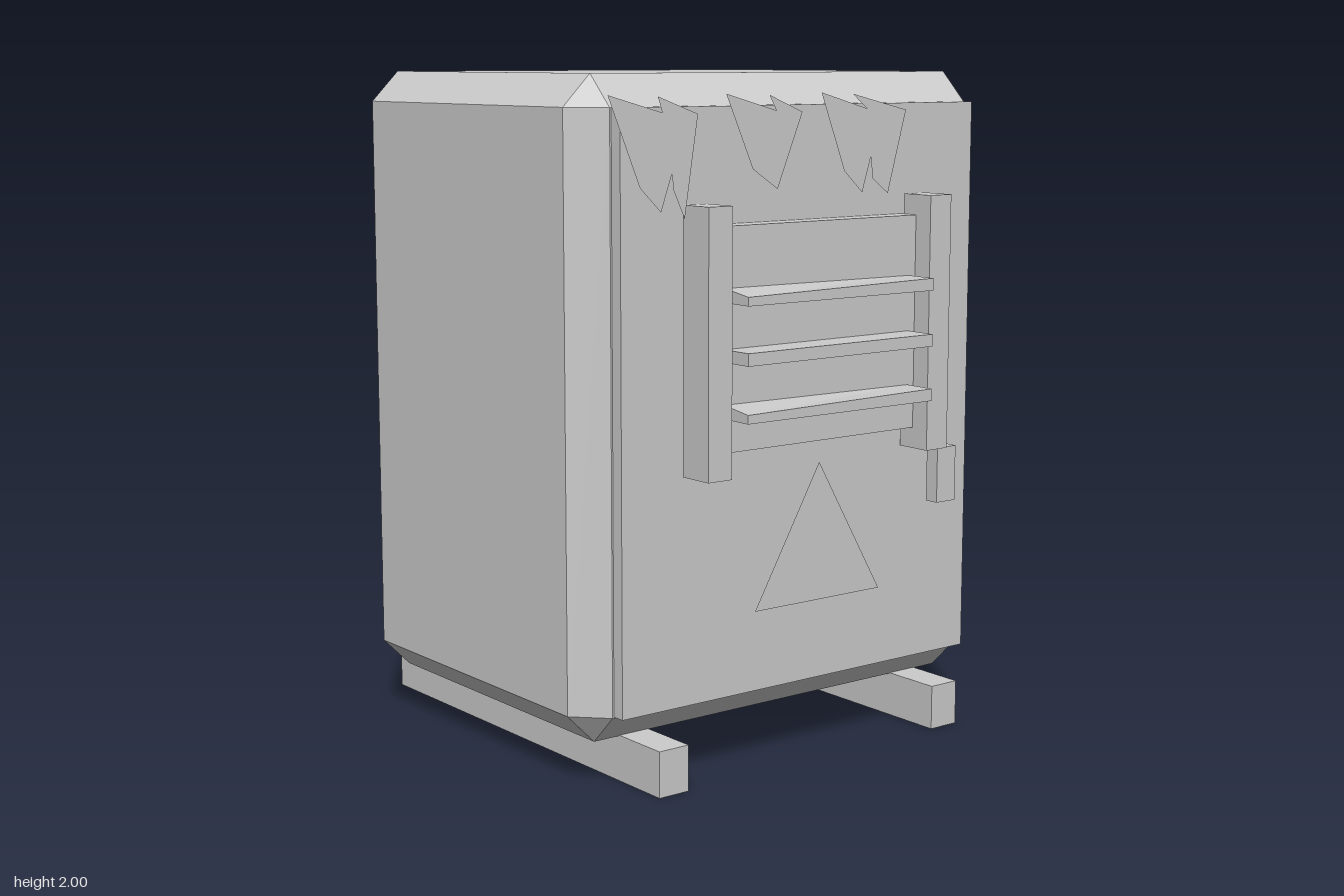
import * as THREE from 'three';
import { ConvexGeometry } from 'three/addons/geometries/ConvexGeometry.js';

const material = new THREE.MeshStandardMaterial({ color: 0xcccccc, flatShading: true });
const cardMaterial = new THREE.MeshStandardMaterial({ color: 0xcccccc, side: THREE.DoubleSide });

// Box given by its extents on each axis
function box(name, [x0, x1], [y0, y1], [z0, z1]) {
  const mesh = new THREE.Mesh(new THREE.BoxGeometry(x1 - x0, y1 - y0, z1 - z0), material);
  mesh.position.set((x0 + x1) / 2, (y0 + y1) / 2, (z0 + z1) / 2);
  mesh.name = name;
  return mesh;
}

// Box with every edge and corner cut off
function chamferedBox(hx, hy, hz, c) {
  const points = [];
  for (const x of [-1, 1]) for (const y of [-1, 1]) for (const z of [-1, 1]) {
    points.push(
      new THREE.Vector3(x * hx, y * (hy - c), z * (hz - c)),
      new THREE.Vector3(x * (hx - c), y * hy, z * (hz - c)),
      new THREE.Vector3(x * (hx - c), y * (hy - c), z * hz));
  }
  return new ConvexGeometry(points);
}

// Flat cut-out standing just in front of the door
function card(name, points) {
  const shape = new THREE.Shape(points.map(([x, y]) => new THREE.Vector2(x, y)));
  const mesh = new THREE.Mesh(new THREE.ShapeGeometry(shape), cardMaterial);
  mesh.position.z = 0.655;
  mesh.name = name;
  return mesh;
}

export function createModel() {
  const model = new THREE.Group();
  model.name = 'cabinet';

  // Cabinet body and door
  const body = new THREE.Mesh(chamferedBox(0.75, 0.934, 0.6, 0.09), material);
  body.position.set(0, 1.066, -0.053);
  body.name = 'body';
  model.add(body);
  model.add(box('door', [-0.655, 0.655], [0.225, 1.91], [0.54, 0.587]));

  // Skids and window posts, mirrored
  for (const s of [-1, 1]) {
    const side = s > 0 ? 'left' : 'right';
    const span = (a, b) => (s > 0 ? [a, b] : [-b, -a]);
    model.add(box(side + 'Skid', span(0.472, 0.574), [0, 0.135], [-0.76, 0.65]));
    model.add(box(side + 'Post', span(0.37, 0.453), [0.89, 1.645], [0.6, 0.713]));
  }

  // Window plate and slats; the outer slats are slightly twisted
  model.add(box('windowPlate', [-0.372, 0.372], [0.952, 1.585], [0.585, 0.652]));
  [1.065, 1.226, 1.39].forEach((y, i) => {
    const slat = box('slat' + (i + 1), [-0.348, 0.346], [y - 0.018, y + 0.018], [0.652, 0.755]);
    const p = slat.geometry.attributes.position;
    if (i !== 1) {
      for (let k = 0; k < p.count; k++) {
        if (p.getX(k) < 0) p.setY(k, p.getY(k) * (p.getZ(k) > 0 ? 0.7 : 1.1) - Math.sign(p.getZ(k)) * 0.004);
      }
      slat.geometry.computeVertexNormals();
    }
    model.add(slat);
  });

  // Door handle
  model.add(box('handle', [0.44, 0.515], [0.72, 0.887], [0.643, 0.688]));

  // Warning triangle and jagged shards
  model.add(card('triangle', [[-0.237, 0.483], [0.237, 0.483], [0, 0.89]]));
  model.add(card('shardRight', [[-0.744, 1.945], [-0.64, 1.7], [-0.57, 1.632], [-0.533, 1.735],
    [-0.528, 1.69], [-0.49, 1.611], [-0.445, 1.892], [-0.58, 1.94], [-0.565, 1.897]]));
  model.add(card('shardMiddle', [[-0.348, 1.945], [-0.253, 1.738], [-0.164, 1.68], [-0.075, 1.892],
    [-0.195, 1.94], [-0.17, 1.897]]));
  model.add(card('shardLeft', [[-0.005, 1.945], [0.084, 1.722], [0.153, 1.659], [0.185, 1.76],
    [0.193, 1.697], [0.253, 1.653], [0.32, 1.892], [0.112, 1.94], [0.17, 1.897]]));

  return model;
}
